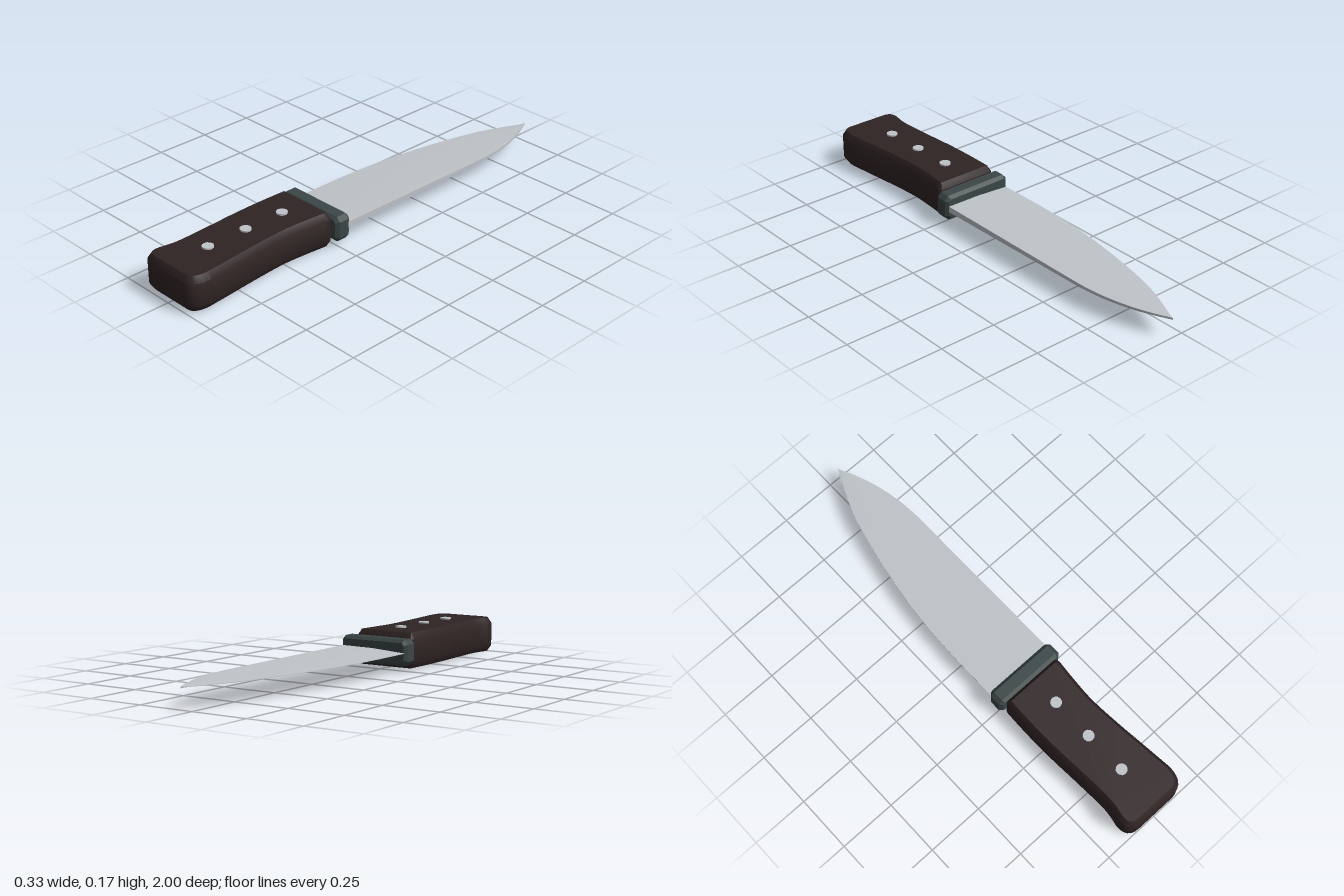
import * as THREE from 'three';
import { toCreasedNormals } from 'three/addons/utils/BufferGeometryUtils.js';

const MID = 0.085; // height of the knife's centre plane
const v2 = (p) => new THREE.Vector2(p[0], p[1]);

function material(name, color) {
  const m = new THREE.MeshStandardMaterial({ color });
  m.name = name;
  return m;
}

function mesh(name, geometry, mat) {
  const m = new THREE.Mesh(geometry, mat);
  m.name = name;
  return m;
}

// Tapered wedge: thick spine at +x, thin cutting edge at -x, both meeting at the tip
function bladeGeometry() {
  const edge = new THREE.SplineCurve([[-0.155, 0.23], [-0.155, 0], [-0.147, -0.2], [-0.124, -0.4],
    [-0.087, -0.6], [-0.035, -0.8], [0.052, -1]].map(v2)).getPoints(36);
  const back = new THREE.SplineCurve([[0.155, -0.6], [0.147, -0.7], [0.128, -0.8], [0.097, -0.9], [0.052, -1]].map(v2)).getPoints(20);
  const xAt = (pts, z) => {
    if (z >= pts[0].y) return pts[0].x;
    for (let i = 1; i < pts.length; i++) {
      const a = pts[i - 1], b = pts[i];
      if (z >= b.y) return THREE.MathUtils.mapLinear(z, a.y, b.y, a.x, b.x);
    }
    return pts[pts.length - 1].x;
  };
  const stations = edge.map((p) => p.y);
  const pos = [], index = [], N = 6;
  stations.forEach((z) => {
    const l = xAt(edge, z), r = xAt(back, z), m = l + (r - l) * 0.5;
    const h = THREE.MathUtils.mapLinear(z, 0.23, -1, 0.0135, 0.004);
    [[r, h], [m, h * 0.85], [l, 0.001], [l, -0.001], [m, -h * 0.85], [r, -h]]
      .forEach(([x, y]) => pos.push(x, MID + y, z));
  });
  for (let i = 0; i < stations.length - 1; i++) {
    for (let k = 0; k < N; k++) {
      const a = i * N + k, b = i * N + (k + 1) % N;
      index.push(a, a + N, b, b, a + N, b + N);
    }
  }
  const g = new THREE.BufferGeometry();
  g.setAttribute('position', new THREE.Float32BufferAttribute(pos, 3));
  g.setIndex(index);
  return toCreasedNormals(g, 0.6);
}

// Waisted grip with a rounded pommel and chamfered rims
function handleGeometry() {
  const s = new THREE.Shape();
  s.moveTo(-0.13, 0.275);
  s.lineTo(0.122, 0.275);
  s.quadraticCurveTo(0.138, 0.275, 0.138, 0.3);
  s.splineThru([[0.13, 0.38], [0.123, 0.5], [0.131, 0.64], [0.145, 0.79], [0.156, 0.91]].map(v2));
  s.bezierCurveTo(0.158, 0.965, 0.135, 1, 0.1, 1);
  s.lineTo(-0.09, 1);
  s.bezierCurveTo(-0.13, 1, -0.152, 0.975, -0.146, 0.93);
  s.splineThru([[-0.134, 0.85], [-0.139, 0.7], [-0.147, 0.55], [-0.149, 0.42], [-0.146, 0.3]].map(v2));
  s.quadraticCurveTo(-0.146, 0.275, -0.13, 0.275);
  const g = new THREE.ExtrudeGeometry(s, {
    depth: 0.1, curveSegments: 6, bevelSegments: 1,
    bevelThickness: 0.027, bevelSize: 0.018, bevelOffset: -0.018,
  });
  g.rotateX(Math.PI / 2).translate(0, MID + 0.05, 0);
  return toCreasedNormals(g, 0.6);
}

// Bar with cut corners and bevelled faces
function guardGeometry() {
  const w = 0.166, h = 0.056, cx = 0.017, cy = 0.02;
  const s = new THREE.Shape([[w, -h + cy], [w, h - cy], [w - cx, h], [-w + cx, h],
    [-w, h - cy], [-w, -h + cy], [-w + cx, -h], [w - cx, -h]].map(v2));
  return new THREE.ExtrudeGeometry(s, {
    depth: 0.047, bevelSegments: 1, bevelThickness: 0.014, bevelSize: 0.013, bevelOffset: -0.013,
  }).translate(0, MID, 0.212);
}

export function createModel() {
  const steel = material('steel', 0xbfc4c8);
  const wood = material('darkWood', 0x302424);
  const gunmetal = material('gunmetal', 0x3b4646);

  const knife = new THREE.Group();
  knife.name = 'knife';
  knife.add(
    mesh('blade', bladeGeometry(), steel),
    mesh('handle', handleGeometry(), wood),
    mesh('guard', guardGeometry(), gunmetal),
    // Hidden tang joining guard and handle
    mesh('tang', new THREE.BoxGeometry(0.2, 0.05, 0.06).translate(0, MID, 0.27), gunmetal),
  );

  // Rivets pass right through the grip
  [0.418, 0.607, 0.796].forEach((z, i) => {
    const rivet = mesh('rivet' + (i + 1), new THREE.CylinderGeometry(0.024, 0.024, 0.168, 12), steel);
    rivet.position.set(0, MID, z);
    knife.add(rivet);
  });
  return knife;
}
